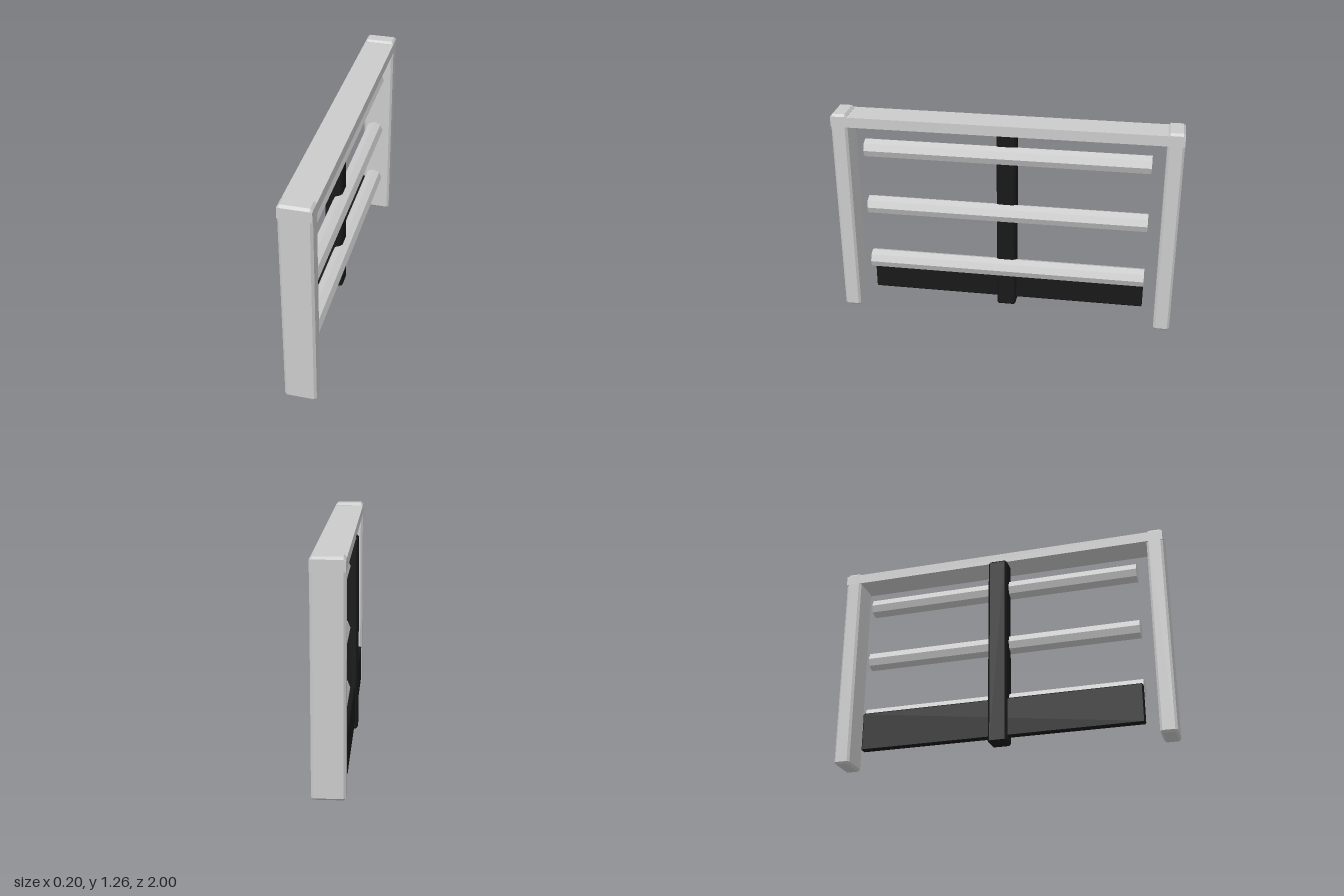
import * as THREE from 'three';
import { ConvexGeometry } from 'three/addons/geometries/ConvexGeometry.js';

const grey = new THREE.MeshStandardMaterial({ color: 0xcccccc, flatShading: true });
const black = new THREE.MeshStandardMaterial({ color: 0x181818, flatShading: true });

// Box between two corners with every edge chamfered by c
function chamferedBox(min, max, c) {
  const mid = min.map((v, i) => (v + max[i]) / 2);
  const half = min.map((v, i) => (max[i] - v) / 2);
  const points = [];
  for (const sx of [-1, 1]) for (const sy of [-1, 1]) for (const sz of [-1, 1]) {
    const s = [sx, sy, sz];
    // each corner becomes three points, one on each adjoining face
    for (let face = 0; face < 3; face++) {
      const p = s.map((sign, i) => mid[i] + sign * (half[i] - (i === face ? 0 : c)));
      points.push(new THREE.Vector3(...p));
    }
  }
  return new ConvexGeometry(points);
}

export function createModel() {
  const group = new THREE.Group();
  const add = (name, geometry, material) => {
    const mesh = new THREE.Mesh(geometry, material);
    mesh.name = name;
    group.add(mesh);
    return mesh;
  };

  // End posts
  for (const [name, z0, z1] of [['frontPost', 0.905, 1], ['backPost', -1, -0.905]]) {
    add(name, chamferedBox([-0.085, 0, z0], [0.095, 1.265, z1], 0.013), grey);
  }

  // Top beam, running through the posts
  add('topBeam', new THREE.BoxGeometry(0.18, 0.06, 2), grey).position.set(0.005, 1.22, 0);

  // Three eight-sided rails with a corner at the top
  for (const y of [0.3, 0.667, 1.034]) {
    const rail = add('rail', new THREE.CylinderGeometry(0.056, 0.056, 1.66, 8), grey);
    rail.rotation.x = Math.PI / 2;
    rail.position.set(0, y, 0);
  }

  // Central upright and kick board behind the rails
  add('centreUpright', chamferedBox([-0.1, 0.035, -0.057], [0.003, 1.2, 0.057], 0.012), black);
  add('kickBoard', chamferedBox([-0.083, 0.07, -0.83], [-0.04, 0.3, 0.83], 0.006), black);

  return group;
}
